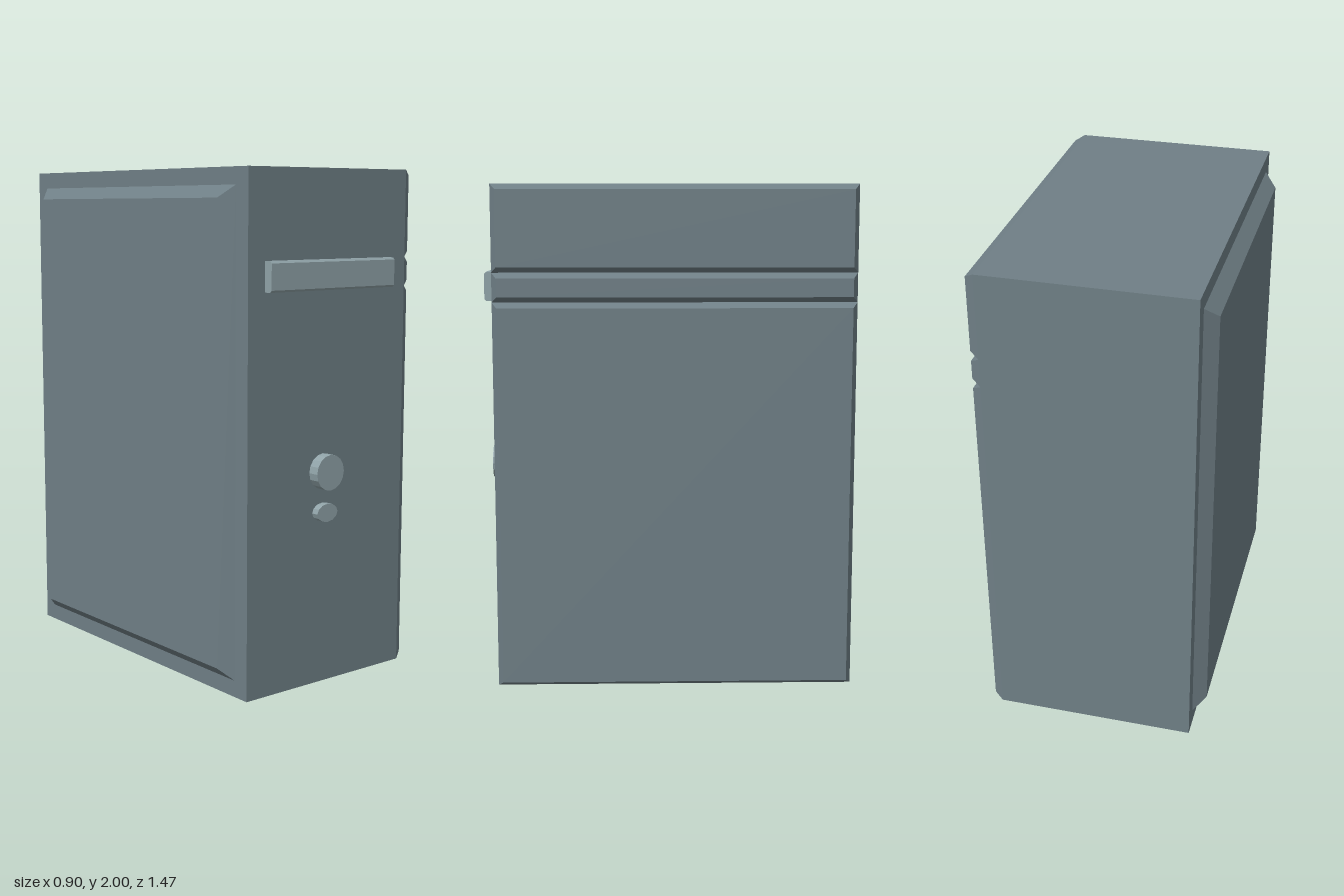
import * as THREE from 'three';

const bodyMat = new THREE.MeshStandardMaterial({ color: 0x6f7f86 });
bodyMat.name = 'slate grey';
const trimMat = new THREE.MeshStandardMaterial({ color: 0x90a3a8 });
trimMat.name = 'light grey';

const BACK = -0.735, FRONT = 0.69;

function part(parent, name, geometry, material) {
  const mesh = new THREE.Mesh(geometry, material);
  mesh.name = name;
  parent.add(mesh);
  return mesh;
}

// Side slab whose outer face (towards side * x) is inset on all four edges
function sidePanel(xIn, xOut, y0, y1, z0, z1, insetY, insetZ) {
  const g = new THREE.BoxGeometry(Math.abs(xOut - xIn), y1 - y0, z1 - z0).toNonIndexed();
  g.translate((xIn + xOut) / 2, (y0 + y1) / 2, (z0 + z1) / 2);
  const p = g.attributes.position;
  const midY = (y0 + y1) / 2, midZ = (z0 + z1) / 2;
  for (let i = 0; i < p.count; i++) {
    if (Math.abs(p.getX(i) - xOut) > 1e-4) continue;
    p.setY(i, p.getY(i) - Math.sign(p.getY(i) - midY) * insetY);
    p.setZ(i, p.getZ(i) - Math.sign(p.getZ(i) - midZ) * insetZ);
  }
  g.computeVertexNormals();
  return g;
}

// Round or oval push button facing +z
function button(rx, ry, depth, sides) {
  const g = new THREE.CylinderGeometry(1, 1, depth, sides);
  g.rotateX(Math.PI / 2);
  g.scale(rx, ry, 1);
  const flat = g.toNonIndexed();
  flat.computeVertexNormals();
  return flat;
}

export function createModel() {
  const model = new THREE.Group();
  model.name = 'computerTower';

  // Main case
  const box = new THREE.BoxGeometry(0.81, 2, FRONT - BACK);
  box.translate(0.005, 1, (FRONT + BACK) / 2);
  part(model, 'case', box, bodyMat);

  // Left side: three bevelled slabs separated by V grooves
  const levels = [0, 1.545, 1.66, 2];
  for (let i = 0; i < 3; i++) {
    part(model, 'leftSlab' + (i + 1),
      sidePanel(0.41, 0.447, levels[i], levels[i + 1], BACK, FRONT, 0.021, 0.021), bodyMat);
  }

  // Right side: raised access panel
  part(model, 'rightPanel', sidePanel(-0.4, -0.45, 0.065, 1.935, -0.67, 0.62, 0.047, 0.047), bodyMat);

  // Drive bay cover with chamfered front edges
  const c = 0.008, zTip = 0.728, y0 = 1.545, y1 = 1.66;
  const profile = new THREE.Shape([
    [-FRONT, y0], [-FRONT, y1], [-zTip + c, y1], [-zTip, y1 - c], [-zTip, y0 + c], [-zTip + c, y0],
  ].map(([x, y]) => new THREE.Vector2(x, y)));
  const bay = new THREE.ExtrudeGeometry(profile, { depth: 0.635, bevelEnabled: false });
  bay.rotateY(Math.PI / 2);
  bay.translate(-0.32, 0, 0);
  part(model, 'driveBay', bay, trimMat);

  // Power and reset buttons
  part(model, 'powerButton', button(0.07, 0.07, 0.045, 16), trimMat)
    .position.set(-0.02, 0.845, FRONT + 0.0225);
  part(model, 'resetButton', button(0.053, 0.036, 0.03, 12), trimMat)
    .position.set(-0.02, 0.685, FRONT + 0.015);

  return model;
}
